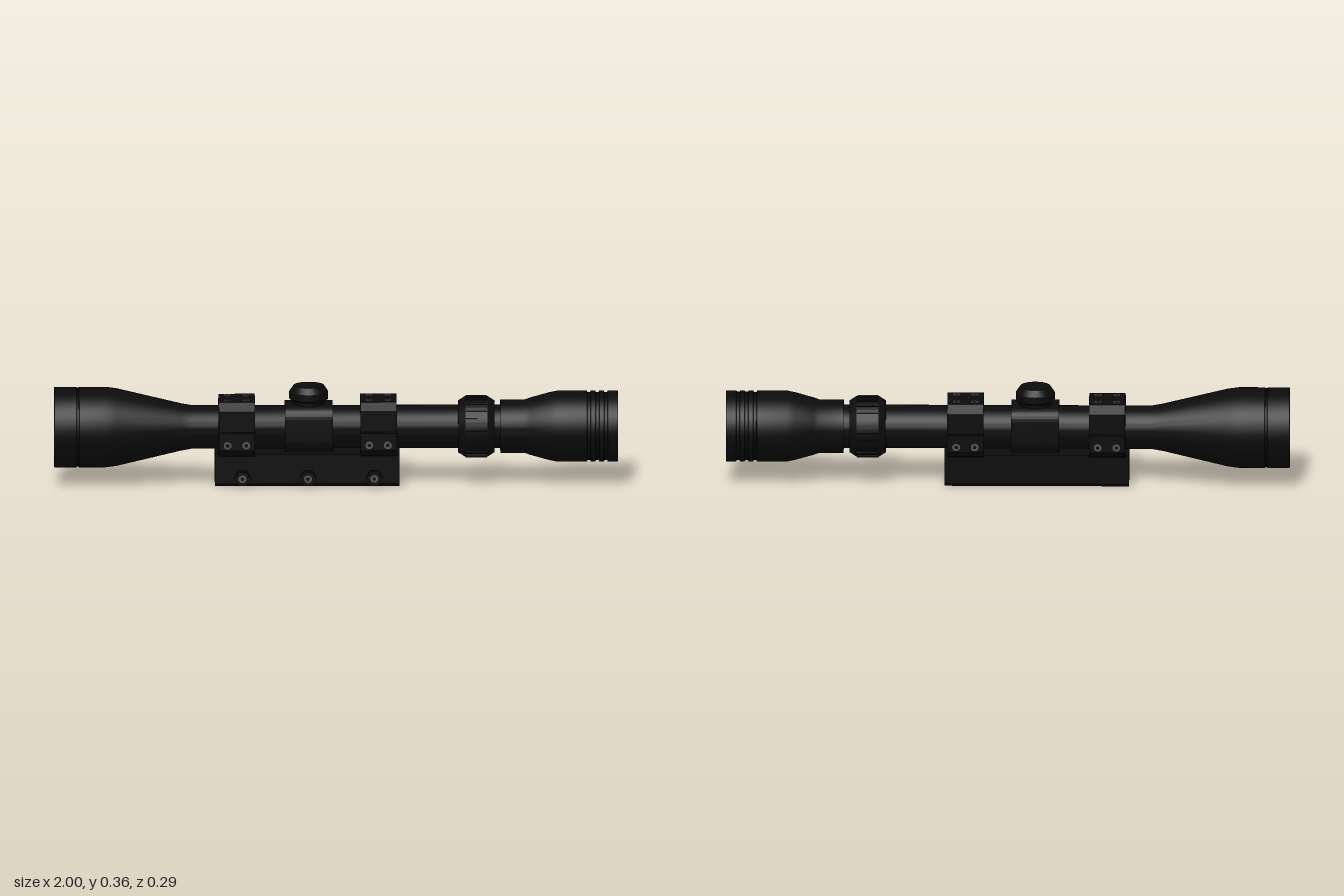
import * as THREE from 'three';
import { toCreasedNormals } from 'three/addons/utils/BufferGeometryUtils.js';

const AXIS = 0.206; // height of the optical axis

export function createModel() {
  const model = new THREE.Group();
  model.name = 'telescopicSight';
  const material = (name, color) => {
    const m = new THREE.MeshStandardMaterial({ color });
    m.name = name;
    return m;
  };
  const black = material('matte black', 0x0b0b0b);
  const glass = material('dark glass', 0x090a0b);
  const steel = material('screw steel', 0x555555);

  const add = (name, geometry, mat, x = 0, y = 0, z = 0) => {
    const mesh = new THREE.Mesh(geometry, mat);
    mesh.name = name;
    mesh.position.set(x, y, z);
    model.add(mesh);
    return mesh;
  };
  // Profile of [radius, height] pairs turned around y
  const turned = (points, sides = 64) =>
    toCreasedNormals(new THREE.LatheGeometry(points.map(p => new THREE.Vector2(...p)), sides), 0.5);
  // Cross-section in z and y, extruded along x and centred
  const alongX = (shape, length) => {
    const g = new THREE.ExtrudeGeometry(shape, { depth: length, bevelEnabled: false, curveSegments: 10 });
    g.translate(0, 0, -length / 2).rotateY(Math.PI / 2);
    return toCreasedNormals(g, 0.5);
  };
  // Half outline mirrored into a closed symmetrical shape
  const mirrored = half => new THREE.Shape(
    [...half, ...half.map(([a, b]) => [-a, b]).reverse()].map(p => new THREE.Vector2(...p)));

  // Main tube with objective bell and eyepiece, hollow at both ends
  const grooves = [0.89, 0.92, 0.95].flatMap(x =>
    [[0.126, x], [0.121, x + 0.002], [0.121, x + 0.012], [0.126, x + 0.014]]);
  const body = turned([
    [0, -0.965], [0.128, -0.965], [0.133, -1], [0.143, -1],
    [0.143, -0.922], [0.14, -0.92], [0.14, -0.914], [0.143, -0.912],
    [0.143, -0.82], [0.138, -0.78], [0.084, -0.55], [0.077, -0.51],
    [0.077, 0.583], [0.095, 0.583], [0.095, 0.67], [0.102, 0.69], [0.12, 0.755], [0.126, 0.785],
    ...grooves,
    [0.126, 1], [0.115, 1], [0.108, 0.96], [0, 0.96],
  ]);
  body.rotateZ(-Math.PI / 2);
  add('scopeTube', body, black, 0, AXIS);

  // Lenses
  add('objectiveLens', new THREE.CircleGeometry(0.127, 48).rotateY(-Math.PI / 2), glass, -0.968, AXIS);
  add('eyepieceLens', new THREE.CircleGeometry(0.107, 48).rotateY(Math.PI / 2), glass, 0.963, AXIS);

  // Magnification ring with grip ribs
  const zoom = turned([
    [0.07, 0.433], [0.092, 0.433], [0.108, 0.458], [0.108, 0.537], [0.092, 0.562], [0.07, 0.562],
  ]);
  add('zoomRing', zoom.rotateZ(-Math.PI / 2), black, 0, AXIS);
  for (let i = 0; i < 24; i++) {
    const a = (i / 24) * Math.PI * 2;
    const rib = add('zoomRib', new THREE.BoxGeometry(0.075, 0.006, 0.012), black,
      0.4975, AXIS + Math.cos(a) * 0.108, Math.sin(a) * 0.108);
    rib.rotation.x = a;
  }

  // Turret saddle with rounded corners
  const w = 0.086, r = 0.045;
  const saddle = new THREE.Shape();
  for (const [sx, sy, a] of [[1, 1, 0], [-1, 1, 1], [-1, -1, 2], [1, -1, 3]]) {
    saddle.absarc(sx * (w - r), sy * (w - r - 0.002), r, a * Math.PI / 2, (a + 1) * Math.PI / 2, false);
  }
  add('turretSaddle', alongX(saddle, 0.17), black, -0.097, 0.209);

  // Elevation turret cap
  add('turretCap', turned([
    [0.058, 0.28], [0.058, 0.302], [0.069, 0.31], [0.069, 0.335], [0.054, 0.357], [0, 0.357],
  ], 40), black, -0.097);

  // Rail base with dovetail channel underneath
  add('mountBase', alongX(mirrored([
    [0.06, 0.118], [0.06, 0.012], [0.045, 0], [0.033, 0], [0.033, 0.005],
    [0.047, 0.014], [0.047, 0.02], [0.032, 0.033],
  ].reverse()), 0.655), black, -0.1025);

  // Socket head screw facing +z
  const head = new THREE.Shape().absarc(0, 0, 0.014, 0, Math.PI * 2, false);
  const socket = new THREE.Path();
  for (let i = 0; i < 6; i++) {
    const a = -i * Math.PI / 3;
    socket[i ? 'lineTo' : 'moveTo'](0.007 * Math.cos(a), 0.007 * Math.sin(a));
  }
  socket.closePath();
  head.holes.push(socket);
  const screwGeo = new THREE.ExtrudeGeometry(head, { depth: 0.005, bevelEnabled: false, curveSegments: 10 });

  // Scope rings: lower saddle, upper cap and screws
  const lower = mirrored([[0.06, 0.112], [0.075, 0.118], [0.1, 0.14], [0.1, 0.202]]);
  const upper = mirrored([[0.1, 0.208], [0.1, 0.282], [0.072, 0.31]]);
  for (const x of [-0.3525, 0.15]) {
    add('ringLower', alongX(lower, 0.129), black, x);
    add('ringCap', alongX(upper, 0.129), black, x);
    for (const dx of [-0.033, 0.033]) {
      for (const side of [1, -1]) {
        const top = add('ringTopScrew', screwGeo, steel, x + dx, 0.308, side * 0.043);
        top.rotation.x = -Math.PI / 2;
        const flank = add('ringSideScrew', screwGeo, steel, x + dx, 0.16, side * 0.098);
        if (side < 0) flank.rotation.y = Math.PI;
      }
    }
  }

  // Hexagonal clamp nuts along the front of the base
  for (const x of [-0.333, -0.1, 0.135]) {
    const nut = new THREE.CylinderGeometry(0.029, 0.029, 0.027, 6).toNonIndexed();
    nut.computeVertexNormals();
    nut.rotateY(Math.PI / 2).rotateX(Math.PI / 2);
    add('clampNut', nut, black, x, 0.037, 0.083);
    add('clampScrew', screwGeo, steel, x, 0.037, 0.093);
  }
  return model;
}
